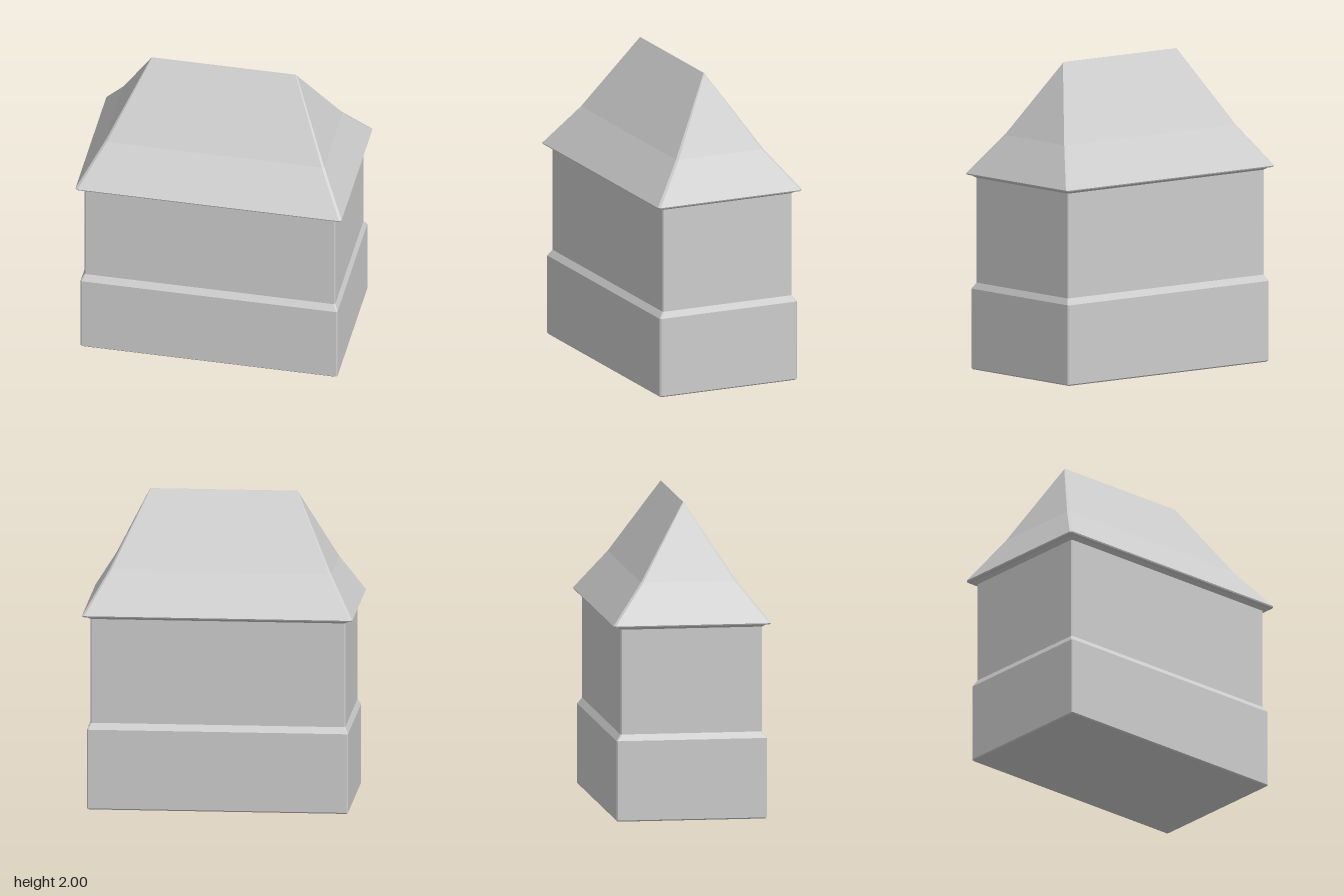
import * as THREE from 'three';

// Rectangle with cut corners, counter-clockwise from above
function ring([y, hx, hz, cut]) {
  const ix = hx - cut, iz = hz - cut;
  return [
    [hx, iz], [hx, -iz], [ix, -hz], [-ix, -hz],
    [-hx, -iz], [-hx, iz], [-ix, hz], [ix, hz],
  ].map(([x, z]) => [x, y, z]);
}

// Closed solid through a stack of sections [y, halfWidth, halfDepth, cornerCut]
function loft(name, sections, material) {
  const rings = sections.map(ring);
  const pos = [];
  const tri = (a, b, c) => pos.push(...a, ...b, ...c);
  for (let r = 0; r < rings.length - 1; r++) {
    const lo = rings[r], hi = rings[r + 1];
    for (let i = 0; i < 8; i++) {
      const j = (i + 1) % 8;
      tri(lo[i], lo[j], hi[j]);
      tri(lo[i], hi[j], hi[i]);
    }
  }
  const bottom = rings[0], top = rings[rings.length - 1];
  for (let i = 1; i < 7; i++) {
    tri(bottom[0], bottom[i + 1], bottom[i]);
    tri(top[0], top[i], top[i + 1]);
  }
  const geometry = new THREE.BufferGeometry();
  geometry.setAttribute('position', new THREE.Float32BufferAttribute(pos, 3));
  geometry.computeVertexNormals();
  const mesh = new THREE.Mesh(geometry, material);
  mesh.name = name;
  return mesh;
}

export function createModel() {
  const group = new THREE.Group();
  group.name = 'house';
  const material = new THREE.MeshStandardMaterial({ color: 0xcccccc, flatShading: true });

  // Wide plinth with a sloped ledge
  group.add(loft('plinth', [
    [0, 0.828, 0.478, 0.008],
    [0.008, 0.836, 0.485, 0.008],
    [0.52, 0.836, 0.485, 0.008],
    [0.56, 0.816, 0.457, 0.008],
  ], material));

  // Upper walls
  group.add(loft('walls', [
    [0.56, 0.816, 0.457, 0.008],
    [1.24, 0.816, 0.457, 0.008],
  ], material));

  // Thin cornice under the eaves
  group.add(loft('cornice', [
    [1.236, 0.816, 0.457, 0.008],
    [1.246, 0.832, 0.474, 0.008],
    [1.252, 0.838, 0.482, 0.01],
  ], material));

  // Bell-cast hipped roof
  group.add(loft('roof', [
    [1.25, 0.838, 0.482, 0.01],
    [1.256, 0.862, 0.505, 0.012],
    [1.264, 0.866, 0.509, 0.014],
    [1.52, 0.712, 0.308, 0.013],
    [1.995, 0.475, 0.005, 0.005],
    [2, 0.47, 0.002, 0.002],
  ], material));

  return group;
}
